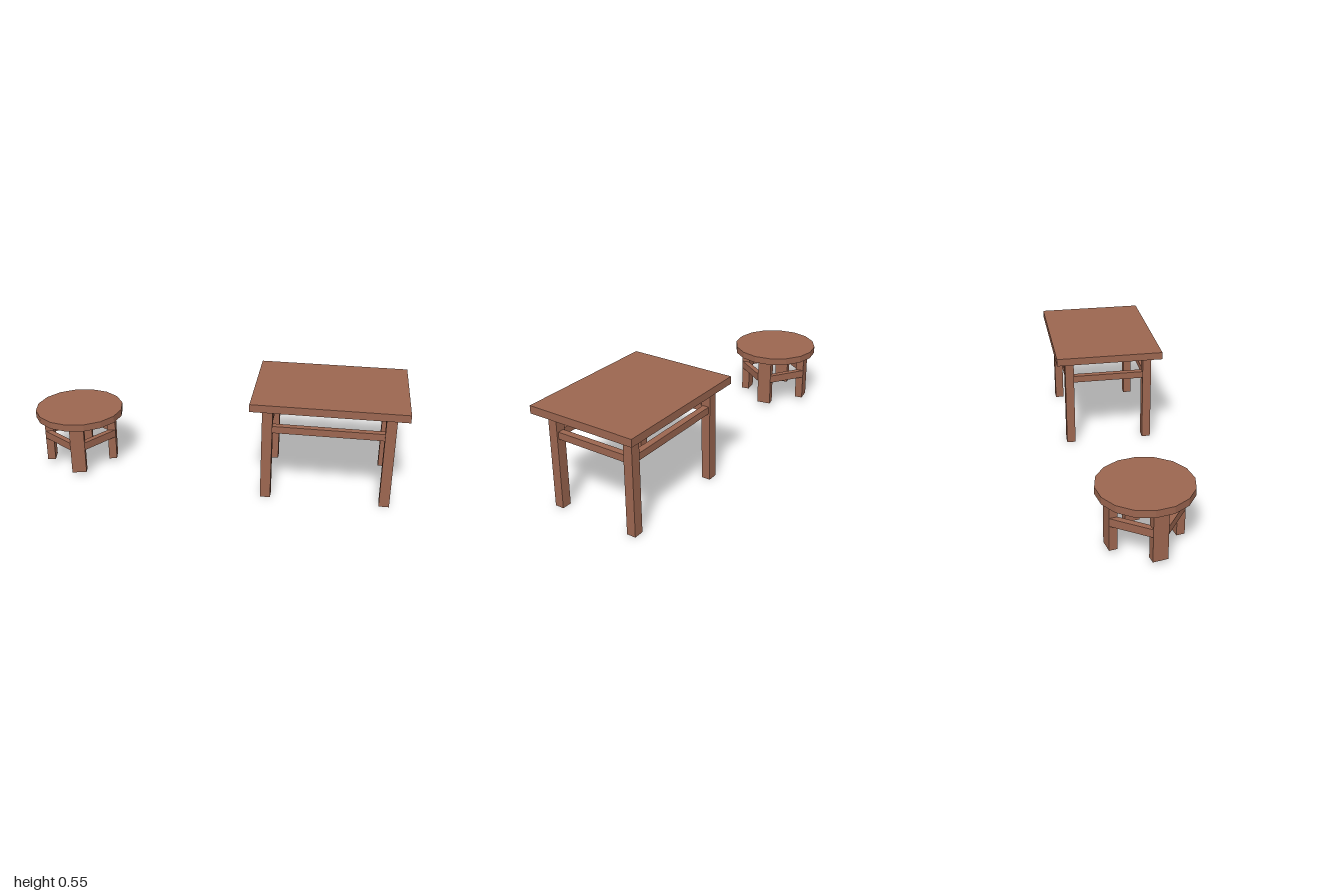
import * as THREE from 'three';

const wood = new THREE.MeshStandardMaterial({ color: 0x9c6650, flatShading: true });

function box(name, w, h, d, x, y, z, parent) {
  const mesh = new THREE.Mesh(new THREE.BoxGeometry(w, h, d), wood);
  mesh.name = name;
  mesh.position.set(x, y, z);
  parent.add(mesh);
  return mesh;
}

// Bar whose outer face is a chord of a circle, between two angles measured from +z
function chordBar(name, radius, from, to, depth, bottom, top, parent) {
  const half = (to - from) / 2;
  const pivot = new THREE.Group();
  pivot.name = name;
  pivot.rotation.y = from + half;
  box(name, 2 * radius * Math.sin(half), top - bottom, depth,
    0, (top + bottom) / 2, radius * Math.cos(half) - depth / 2, pivot);
  parent.add(pivot);
}

function createTable() {
  const table = new THREE.Group();
  table.name = 'table';
  table.position.x = 0.607;
  box('tableTop', 0.785, 0.04, 0.588, 0, 0.529, 0, table);
  const legX = 0.307, legZ = 0.22;
  for (const sx of [-1, 1]) {
    for (const sz of [-1, 1]) {
      box('tableLeg', 0.053, 0.51, 0.048, sx * legX, 0.255, sz * legZ, table);
    }
    // rails between the legs
    box('tableSideRail', 0.034, 0.037, 2 * legZ - 0.046, sx * legX, 0.392, 0, table);
    box('tableLongRail', 2 * legX - 0.05, 0.037, 0.034, 0, 0.392, sx * legZ, table);
  }
  return table;
}

function createStool() {
  const stool = new THREE.Group();
  stool.name = 'stool';
  stool.position.x = -0.763;
  const seat = new THREE.Mesh(new THREE.CylinderGeometry(0.237, 0.237, 0.038, 16), wood);
  seat.name = 'stoolSeat';
  seat.position.y = 0.311;
  stool.add(seat);
  // four legs in a ring, joined by straight rails
  const step = Math.PI / 8, radius = 0.197;
  for (let i = 0; i < 4; i++) {
    const a = i * Math.PI / 2;
    chordBar('stoolLeg', radius, a, a + step, 0.043, 0.023, 0.293, stool);
    chordBar('stoolRail', radius, a + step, a + 4 * step, 0.03, 0.159, 0.202, stool);
  }
  return stool;
}

export function createModel() {
  const model = new THREE.Group();
  model.name = 'tableAndStool';
  model.add(createTable(), createStool());
  return model;
}
